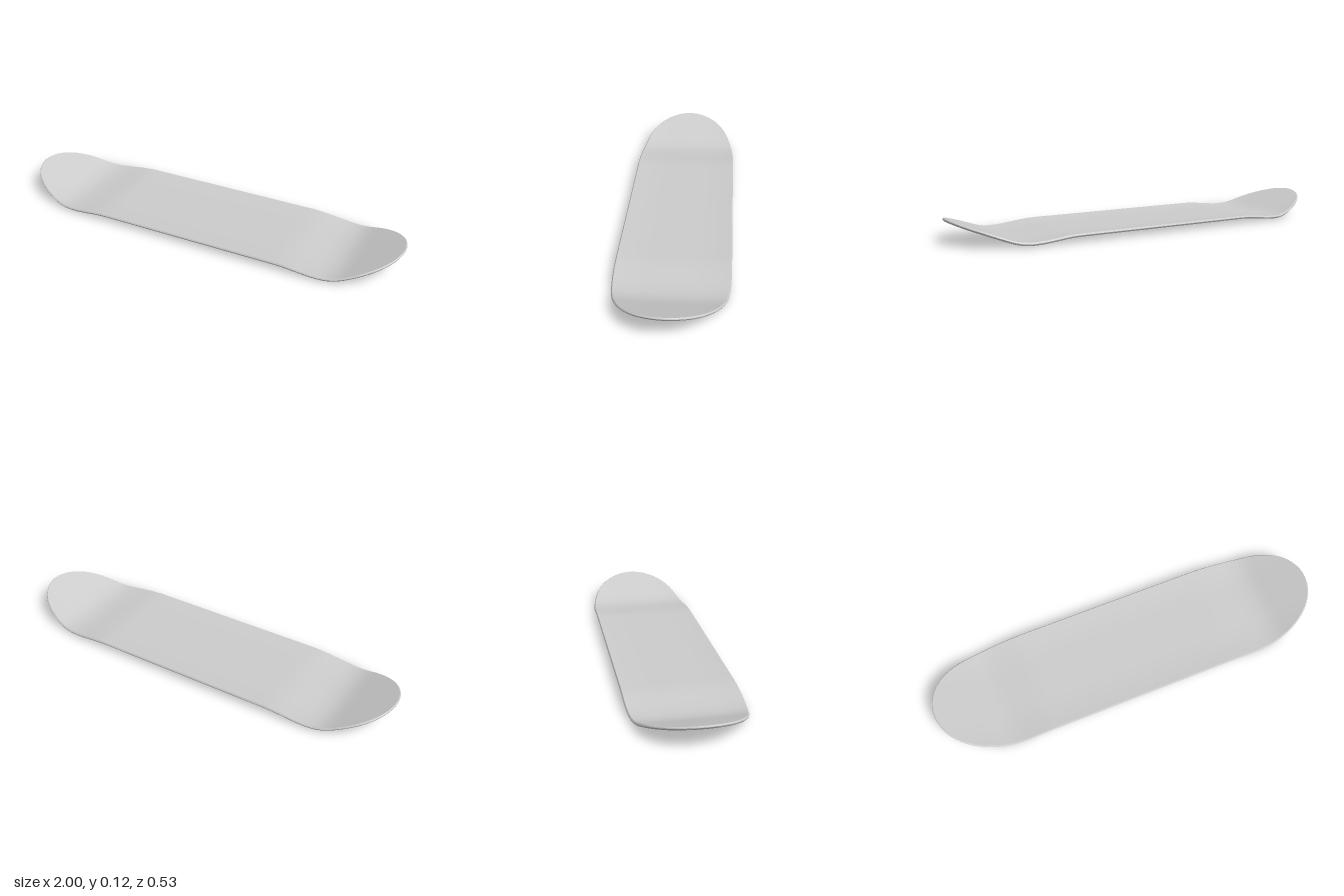
import * as THREE from 'three';
import { mergeVertices, toCreasedNormals } from 'three/addons/utils/BufferGeometryUtils.js';

const THICKNESS = 0.015;
const HALF_WIDTH = 0.266;

// Half width of the outline: straight sides, rounded nose and tail
function halfWidth(x) {
  const t = Math.max(0, (Math.abs(x) - 0.5) / 0.5);
  return Math.max(0.015, HALF_WIDTH * Math.sqrt(Math.max(0, 1 - t ** 3)));
}

// Height of the underside along the centre line: flat, slight dip, upward kick
function rise(x) {
  const a = Math.abs(x);
  if (a < 0.69) return 0.018 * (1 - THREE.MathUtils.smoothstep(a, 0.46, 0.69));
  const d = a - 0.69;
  return d < 0.1 ? 2 * d * d : 0.02 + 0.4 * (d - 0.1);
}

// Raised side rails
function concave(z) {
  return 0.008 * (Math.max(0, Math.abs(z) - 0.1) / 0.165) ** 2;
}

// Bend a subdivided slab into the board
function deckGeometry() {
  let geometry = new THREE.BoxGeometry(2, 2, 2, 72, 4, 20);
  geometry.deleteAttribute('normal');
  geometry.deleteAttribute('uv');
  const p = geometry.attributes.position;
  for (let i = 0; i < p.count; i++) {
    const layer = p.getY(i); // -1 underside, 1 top
    const inset = 0.005 * layer * layer; // rounded rim
    const along = Math.sin(p.getX(i) * Math.PI / 2);
    const x = along * (1 - inset);
    const z = p.getZ(i) * halfWidth(along) * (1 - inset / HALF_WIDTH);
    p.setXYZ(i, x, rise(x) + concave(z) + THICKNESS * (layer + 1) / 2, z);
  }
  geometry = mergeVertices(geometry, 1e-5);
  return toCreasedNormals(geometry, 0.6);
}

export function createModel() {
  const group = new THREE.Group();
  group.name = 'skateboardDeck';
  const material = new THREE.MeshStandardMaterial({ color: 0xcccccc });
  material.name = 'lightGrey';
  const deck = new THREE.Mesh(deckGeometry(), material);
  deck.name = 'deck';
  group.add(deck);
  return group;
}
